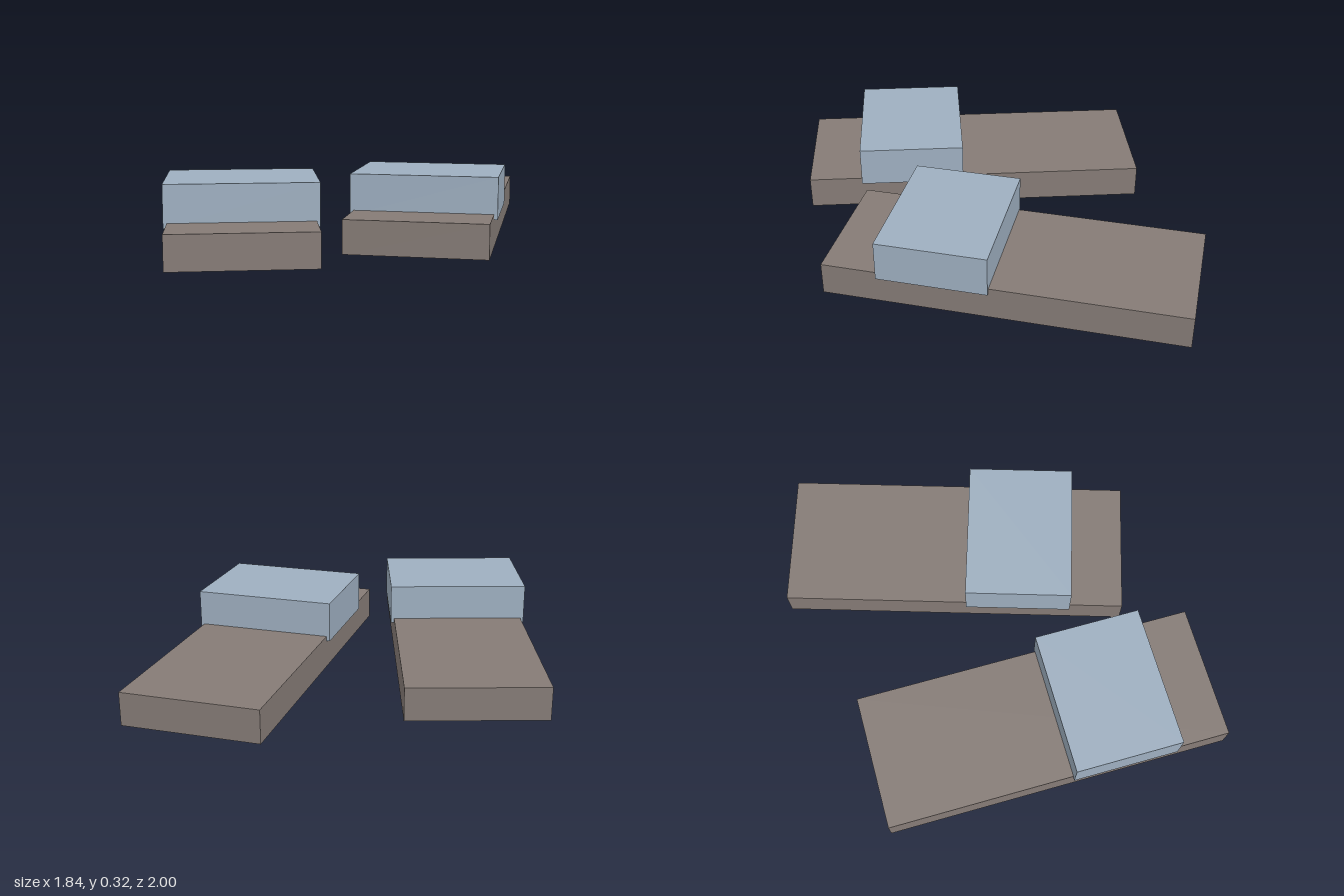
import * as THREE from 'three';

const soleMaterial = new THREE.MeshStandardMaterial({ color: 0x857b76 });
soleMaterial.name = 'warm grey sole';
const strapMaterial = new THREE.MeshStandardMaterial({ color: 0x9eafc0 });
strapMaterial.name = 'pale blue strap';

// Box resting with its underside at the given height
function block(name, material, [width, height, depth], bottom, z) {
  const mesh = new THREE.Mesh(new THREE.BoxGeometry(width, height, depth), material);
  mesh.name = name;
  mesh.position.set(0, bottom + height / 2, z);
  return mesh;
}

// One slipper: a flat sole with a wide strap sunk slightly into it
function slipper(name, x, z, turn) {
  const group = new THREE.Group();
  group.name = name;
  group.add(
    block('sole', soleMaterial, [0.64, 0.155, 1.668], 0, 0),
    block('strap', strapMaterial, [0.672, 0.191, 0.513], 0.132, 0.316)
  );
  group.position.set(x, 0, z);
  group.rotation.y = turn;
  return group;
}

export function createModel() {
  const model = new THREE.Group();
  model.name = 'slippers';
  model.add(
    slipper('rightSlipper', -0.521, 0.137, 0.1),
    slipper('leftSlipper', 0.441, -0.12, -0.2)
  );
  return model;
}
